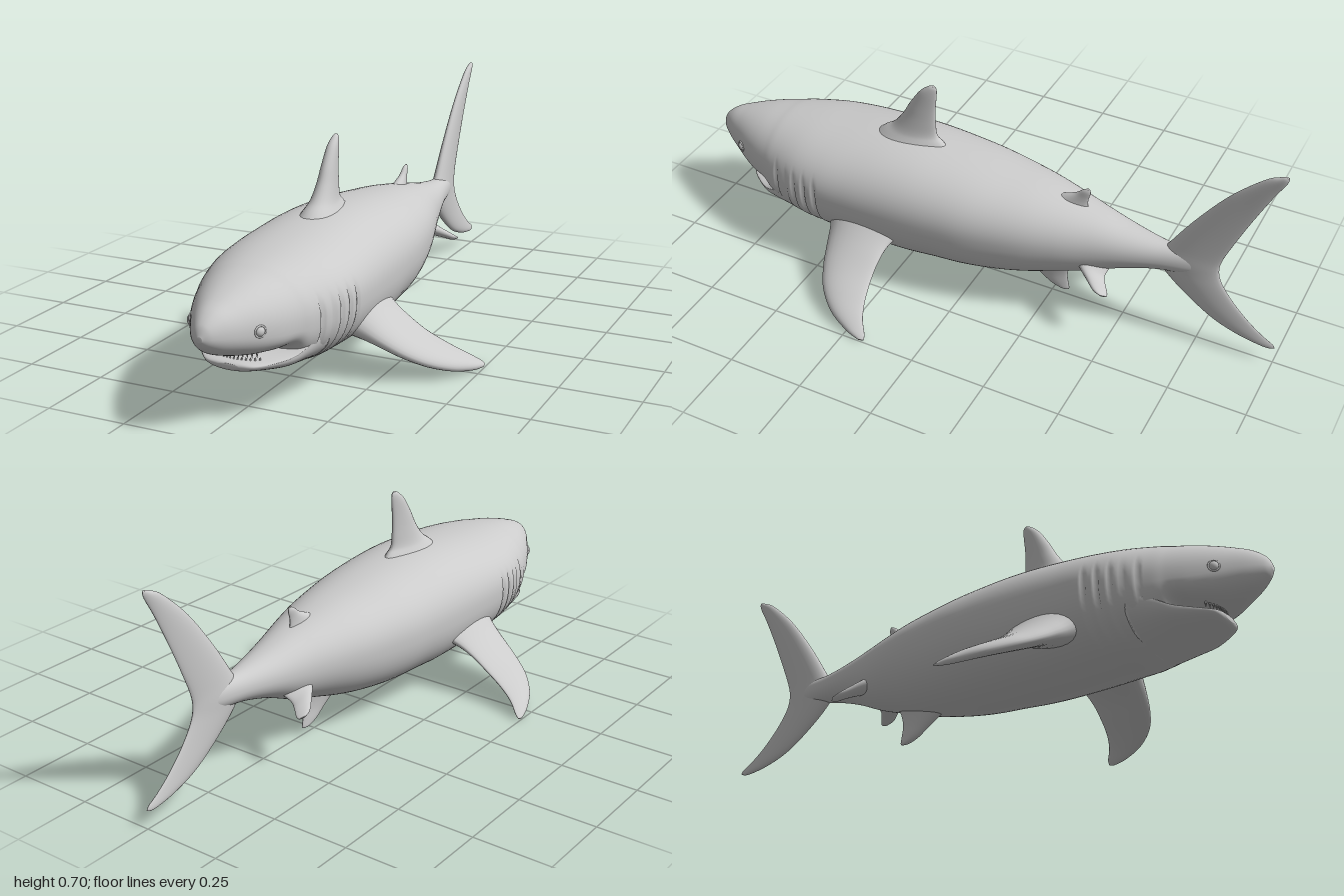
import * as THREE from 'three';

const V = (x, y, z) => new THREE.Vector3(x, y, z);
const material = new THREE.MeshStandardMaterial({ color: 0xcccccc, roughness: 0.8 });
const smooth = THREE.MathUtils.smoothstep;

// Catmull-Rom interpolation of whole rows of numbers, n steps per span
function refine(rows, n) {
  const out = [];
  const at = (i) => rows[Math.max(0, Math.min(rows.length - 1, i))];
  for (let i = 0; i < rows.length - 1; i++) {
    for (let k = 0; k < n; k++) {
      const t = k / n;
      out.push(rows[i].map((b, j) => {
        const a = at(i - 1)[j], c = at(i + 1)[j], d = at(i + 2)[j];
        return b + 0.5 * t * (c - a + t * (2 * a - 5 * b + 4 * c - d + t * (3 * (b - c) + d - a)));
      }));
    }
  }
  out.push(rows[rows.length - 1]);
  return out;
}

// closed skin over rings of points, capped at both ends and turned outwards
function loft(rings) {
  const n = rings[0].length, pts = rings.flat(), idx = [];
  for (let i = 0; i < rings.length - 1; i++) {
    for (let j = 0; j < n; j++) {
      const a = i * n + j, b = i * n + (j + 1) % n;
      idx.push(a, b, a + n, b, b + n, a + n);
    }
  }
  for (const end of [0, rings.length - 1]) {
    const c = V(0, 0, 0);
    rings[end].forEach((p) => c.addScaledVector(p, 1 / n));
    pts.push(c);
    for (let j = 0; j < n; j++) {
      const a = end * n + j, b = end * n + (j + 1) % n;
      idx.push(pts.length - 1, ...(end ? [a, b] : [b, a]));
    }
  }
  let volume = 0;
  const cross = V(0, 0, 0);
  for (let i = 0; i < idx.length; i += 3) {
    volume += pts[idx[i]].dot(cross.crossVectors(pts[idx[i + 1]], pts[idx[i + 2]]));
  }
  if (volume < 0) idx.reverse();
  const g = new THREE.BufferGeometry().setFromPoints(pts);
  g.setIndex(idx);
  g.computeVertexNormals();
  return g;
}

function add(group, name, geometry) {
  const m = new THREE.Mesh(geometry, material);
  m.name = name;
  group.add(m);
  return m;
}

// body cross-section from [z, top, bottom, half width, widest height, lower exponent]
function section([z, top, bot, w, yc, p], gills) {
  const ring = [];
  for (let j = 0; j < 64; j++) {
    const a = (j / 64) * Math.PI * 2, c = Math.cos(a), s = Math.sin(a);
    const e = 2 / (s > 0 ? 2.15 : p);
    let x = w * Math.sign(c) * Math.abs(c) ** e;
    const y = yc + (s > 0 ? top - yc : bot - yc) * Math.abs(s) ** e;
    if (gills && z > 0.49 && z < 0.7) {
      const mask = smooth(y, 0.1, 0.15) * (1 - smooth(y, 0.28, 0.35));
      x *= 1 - 0.05 * mask * Math.max(0, Math.cos((z - 0.51) / 0.04 * Math.PI * 2)) ** 4;
    }
    ring.push(V(x, y, z));
  }
  return ring;
}

// fin from rows [lead x, y, z, trail x, y, z, half thickness], thickened along normal
function fin(rows, normal) {
  return loft(refine(rows, 6).map(([lx, ly, lz, tx, ty, tz, h]) => {
    const lead = V(lx, ly, lz), trail = V(tx, ty, tz), ring = [];
    for (let j = 0; j < 28; j++) {
      const a = (j / 28) * Math.PI * 2, c = (1 - Math.cos(a)) / 2;
      ring.push(lead.clone().lerp(trail, c).addScaledVector(normal, h * Math.sin(a) * (1.25 - 0.6 * c)));
    }
    return ring;
  }));
}

// upright fin on the centre line from rows [lead z, lead y, trail z, trail y, half thickness]
const medianFin = (rows) =>
  fin(rows.map(([lz, ly, tz, ty, h]) => [0, ly, lz, 0, ty, tz, h]), V(1, 0, 0));

export function createModel() {
  const shark = new THREE.Group();
  shark.name = 'shark';

  // body with gill slits, snout to tail root
  const body = refine([
    [1.0, 0.296, 0.28, 0.008, 0.288, 2],
    [0.985, 0.325, 0.258, 0.03, 0.288, 2],
    [0.95, 0.352, 0.232, 0.058, 0.285, 2.1],
    [0.9, 0.372, 0.212, 0.09, 0.28, 2.3],
    [0.85, 0.388, 0.2, 0.12, 0.275, 2.6],
    [0.8, 0.401, 0.197, 0.146, 0.27, 2.9],
    [0.745, 0.412, 0.192, 0.17, 0.27, 3],
    [0.7, 0.421, 0.13, 0.189, 0.27, 2.5],
    [0.6, 0.435, 0.095, 0.219, 0.275, 2.3],
    [0.5, 0.445, 0.087, 0.23, 0.28, 2.3],
    [0.4, 0.454, 0.08, 0.231, 0.28, 2.3],
    [0.3, 0.46, 0.075, 0.229, 0.28, 2.3],
    [0.2, 0.46, 0.074, 0.225, 0.28, 2.3],
    [0.1, 0.454, 0.076, 0.218, 0.28, 2.2],
    [0.0, 0.445, 0.08, 0.208, 0.28, 2.2],
    [-0.1, 0.433, 0.092, 0.19, 0.28, 2.2],
    [-0.2, 0.42, 0.11, 0.167, 0.28, 2.1],
    [-0.3, 0.402, 0.138, 0.137, 0.28, 2],
    [-0.4, 0.381, 0.17, 0.104, 0.28, 2],
    [-0.5, 0.358, 0.213, 0.075, 0.285, 2],
    [-0.6, 0.342, 0.242, 0.048, 0.29, 2],
    [-0.7, 0.335, 0.255, 0.026, 0.292, 2],
    [-0.77, 0.315, 0.275, 0.006, 0.295, 2],
  ], 12);
  add(shark, 'body', loft(body.map((r) => section(r, true))));

  // lower jaw, slightly open
  const jaw = refine([
    [0.858, 0.172, 0.158, 0.03, 0.166, 2],
    [0.845, 0.177, 0.148, 0.075, 0.167, 2],
    [0.8, 0.179, 0.138, 0.118, 0.17, 2.1],
    [0.75, 0.187, 0.127, 0.152, 0.178, 2.2],
    [0.7, 0.21, 0.116, 0.175, 0.2, 2.2],
    [0.62, 0.24, 0.1, 0.2, 0.23, 2.2],
  ], 6);
  add(shark, 'lowerJaw', loft(jaw.map((r) => section(r, false))));

  // teeth along both jaws
  const teeth = new THREE.Group();
  teeth.name = 'teeth';
  shark.add(teeth);
  for (let i = -6; i <= 6; i++) {
    const x = i * 0.0115, z = 0.84 - 5 * x * x;
    const upper = add(teeth, 'upperTooth', new THREE.ConeGeometry(0.0045, 0.02, 6));
    upper.position.set(x, 0.193, z);
    upper.rotation.x = Math.PI;
    const lower = add(teeth, 'lowerTooth', new THREE.ConeGeometry(0.004, 0.014, 6));
    lower.position.set(x + 0.005, 0.18, z - 0.008);
  }

  // tail fin, lower tip to upper tip
  add(shark, 'tailFin', medianFin([
    [-0.985, 0.057, -1.0, 0.063, 0.003],
    [-0.955, 0.058, -0.992, 0.075, 0.007],
    [-0.88, 0.073, -0.955, 0.098, 0.01],
    [-0.79, 0.108, -0.905, 0.138, 0.013],
    [-0.69, 0.178, -0.85, 0.195, 0.017],
    [-0.62, 0.245, -0.81, 0.252, 0.022],
    [-0.6, 0.295, -0.797, 0.296, 0.025],
    [-0.635, 0.353, -0.803, 0.34, 0.022],
    [-0.705, 0.462, -0.83, 0.41, 0.018],
    [-0.8, 0.587, -0.873, 0.51, 0.014],
    [-0.895, 0.678, -0.925, 0.62, 0.011],
    [-0.94, 0.703, -0.96, 0.685, 0.008],
    [-0.955, 0.709, -0.965, 0.707, 0.003],
  ]));

  // dorsal fins and the belly fin
  add(shark, 'dorsalFin', medianFin([
    [0.42, 0.42, 0.1, 0.42, 0.075],
    [0.365, 0.466, 0.145, 0.462, 0.046],
    [0.325, 0.495, 0.168, 0.485, 0.034],
    [0.29, 0.54, 0.173, 0.53, 0.026],
    [0.262, 0.59, 0.173, 0.58, 0.021],
    [0.228, 0.64, 0.168, 0.635, 0.016],
    [0.2, 0.665, 0.167, 0.66, 0.01],
    [0.185, 0.673, 0.172, 0.672, 0.004],
  ]));
  add(shark, 'rearDorsalFin', medianFin([
    [-0.23, 0.39, -0.37, 0.36, 0.026],
    [-0.275, 0.41, -0.36, 0.392, 0.017],
    [-0.315, 0.428, -0.36, 0.415, 0.011],
    [-0.34, 0.448, -0.366, 0.44, 0.008],
    [-0.355, 0.456, -0.364, 0.455, 0.003],
  ]));
  add(shark, 'bellyFin', medianFin([
    [-0.1, 0.14, -0.33, 0.165, 0.035],
    [-0.155, 0.1, -0.31, 0.128, 0.023],
    [-0.2, 0.07, -0.302, 0.09, 0.016],
    [-0.24, 0.042, -0.306, 0.055, 0.013],
    [-0.275, 0.028, -0.31, 0.033, 0.009],
    [-0.295, 0.025, -0.307, 0.026, 0.003],
  ]));

  // paired fins and eyes
  for (const [side, s] of [['left', 1], ['right', -1]]) {
    const mirror = (rows) => rows.map(([lx, ly, lz, tx, ty, tz, h]) => [s * lx, ly, lz, s * tx, ty, tz, h]);
    add(shark, side + 'PectoralFin', fin(mirror([
      [0.15, 0.2, 0.49, 0.15, 0.22, 0.19, 0.07],
      [0.21, 0.16, 0.46, 0.22, 0.178, 0.23, 0.046],
      [0.265, 0.128, 0.443, 0.275, 0.145, 0.24, 0.032],
      [0.33, 0.092, 0.42, 0.33, 0.11, 0.238, 0.025],
      [0.395, 0.06, 0.382, 0.395, 0.075, 0.225, 0.021],
      [0.45, 0.033, 0.32, 0.445, 0.047, 0.205, 0.017],
      [0.485, 0.014, 0.245, 0.48, 0.021, 0.18, 0.011],
      [0.498, 0.007, 0.195, 0.495, 0.009, 0.175, 0.004],
    ]), V(s * 0.48, 0.88, 0)));
    add(shark, side + 'PelvicFin', fin(mirror([
      [0.05, 0.25, -0.34, 0.04, 0.23, -0.47, 0.03],
      [0.094, 0.23, -0.375, 0.08, 0.205, -0.46, 0.02],
      [0.122, 0.208, -0.415, 0.105, 0.19, -0.475, 0.014],
      [0.142, 0.19, -0.448, 0.122, 0.178, -0.488, 0.01],
      [0.147, 0.182, -0.475, 0.136, 0.176, -0.492, 0.004],
    ]), V(s * 0.5, 0.82, -0.2)));

    const eye = add(shark, side + 'Eye', new THREE.SphereGeometry(0.015, 20, 14));
    eye.position.set(s * 0.107, 0.285, 0.866);
    eye.scale.set(0.75, 1, 1);
    eye.rotation.y = -s * 0.5;
    const rim = add(shark, side + 'EyeRim', new THREE.TorusGeometry(0.016, 0.003, 8, 24));
    rim.position.set(s * 0.109, 0.285, 0.867);
    rim.rotation.y = s * 1.05;
  }
  return shark;
}
